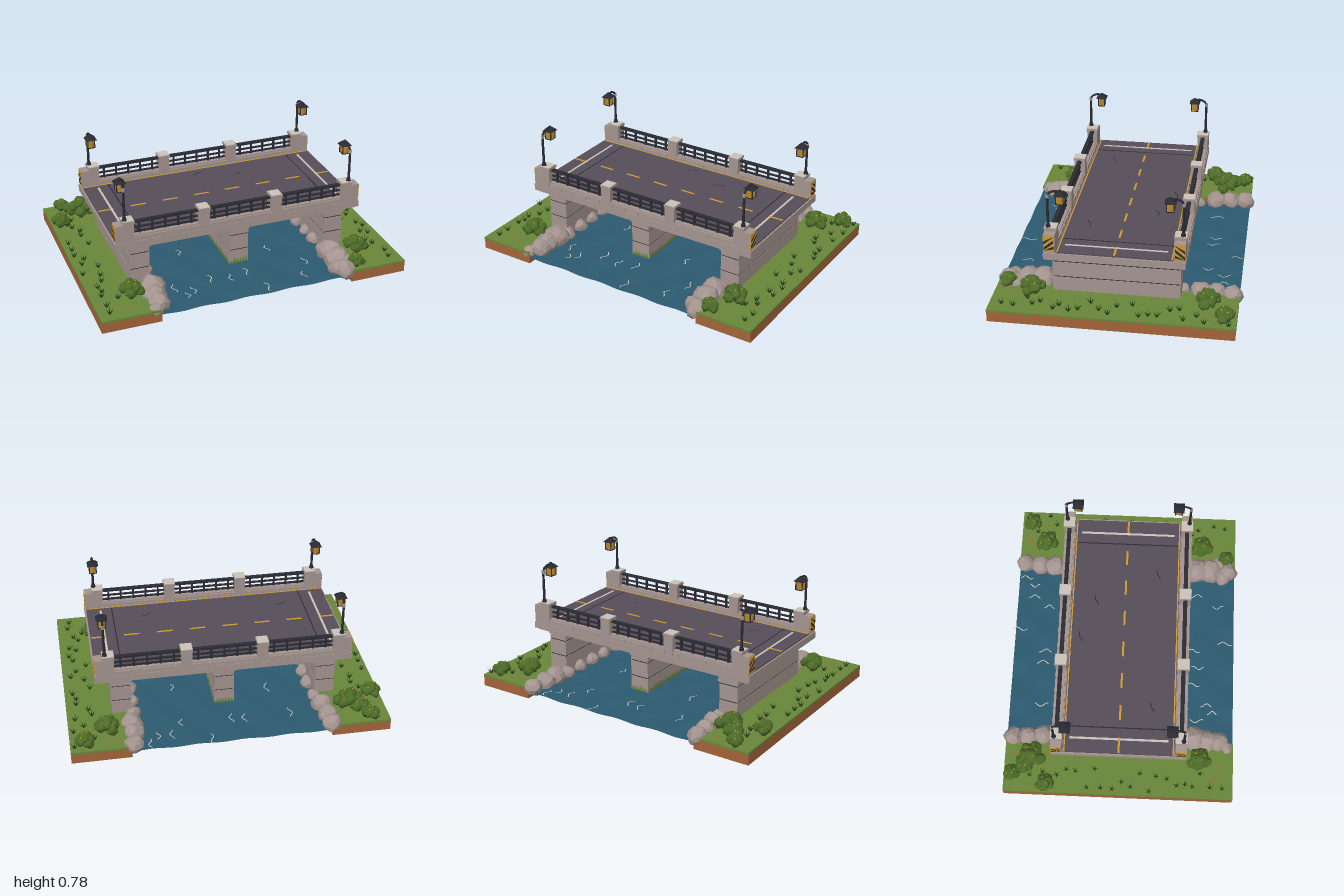
import * as THREE from 'three';

const mat = (name, color, extra = {}) => new THREE.MeshStandardMaterial({ name, color, ...extra });

export function createModel() {
  const stone = mat('stone', 0xa4948f, { flatShading: true });
  const asphalt = mat('asphalt', 0x564d58);
  const earth = mat('earth', 0xa3643a);
  const grass = mat('grass', 0x69873a, { side: THREE.DoubleSide });
  const water = mat('water', 0x2c5a70, { side: THREE.DoubleSide });
  const metal = mat('dark metal', 0x2a2b33, { side: THREE.DoubleSide });
  const yellow = mat('yellow', 0xcf9a2e);
  const cream = mat('cream', 0xc9c3b8, { side: THREE.DoubleSide });
  const leaf = mat('leaf', 0x4d6b28, { flatShading: true });
  const blade = mat('dark grass', 0x2f4a1e, { side: THREE.DoubleSide });

  const root = new THREE.Group();
  root.name = 'riverBridge';
  let seed = 7;
  const rand = (a = 0, b = 1) => {
    seed = (seed * 16807) % 2147483647;
    return a + (b - a) * (seed / 2147483647);
  };
  const add = (name, geo, m, x = 0, y = 0, z = 0, parent = root) => {
    const mesh = new THREE.Mesh(geo, m);
    mesh.name = name;
    mesh.position.set(x, y, z);
    parent.add(mesh);
    return mesh;
  };
  // Box given by its bottom height
  const box = (name, m, w, h, d, x, y, z, parent = root) =>
    add(name, new THREE.BoxGeometry(w, h, d), m, x, y + h / 2, z, parent);
  // Flat strip that follows points on a horizontal surface
  const ribbon = (name, m, pts, y, w) => {
    const pos = [], idx = [];
    pts.forEach(([x, z], i) => {
      const a = pts[Math.max(i - 1, 0)], b = pts[Math.min(i + 1, pts.length - 1)];
      const l = Math.hypot(b[0] - a[0], b[1] - a[1]);
      const nx = -(b[1] - a[1]) / l * w / 2, nz = (b[0] - a[0]) / l * w / 2;
      pos.push(x + nx, y, z + nz, x - nx, y, z - nz);
      if (i) idx.push(2 * i - 2, 2 * i, 2 * i - 1, 2 * i - 1, 2 * i, 2 * i + 1);
    });
    const g = new THREE.BufferGeometry();
    g.setAttribute('position', new THREE.Float32BufferAttribute(pos, 3));
    g.setIndex(idx);
    g.computeVertexNormals();
    return add(name, g, m);
  };
  // Lumpy ball: equal corners get an equal push
  const lump = (r, detail, rough) => {
    const g = new THREE.IcosahedronGeometry(r, detail), p = g.attributes.position, k = rand(0, 9);
    for (let i = 0; i < p.count; i++) {
      const [x, y, z] = [p.getX(i) / r, p.getY(i) / r, p.getZ(i) / r];
      const s = 1 + rough * Math.sin(3.1 * x + k) * Math.cos(2.7 * y - k) + rough * Math.sin(5 * z + 2 * k + x);
      p.setXYZ(i, x * r * s, y * r * s, z * r * s);
    }
    g.computeVertexNormals();
    return g;
  };

  // River
  const surf = new THREE.PlaneGeometry(1.26, 1.48, 40, 40).rotateX(-Math.PI / 2);
  const sp = surf.attributes.position;
  for (let i = 0; i < sp.count; i++)
    sp.setY(i, 0.004 * Math.sin(sp.getX(i) * 22) * Math.cos(sp.getZ(i) * 13));
  surf.computeVertexNormals();
  add('water', surf, water, 0, 0.045, 0);
  const foam = [[0.13, -0.71], [0.45, -0.63], [0.37, -0.63], [-0.4, -0.53], [-0.1, -0.54], [-0.02, -0.53], [0.3, -0.52],
    [-0.47, 0.5], [-0.41, 0.6], [-0.36, 0.56], [-0.22, 0.47], [-0.1, 0.5], [0.02, 0.47], [0.42, 0.48], [0.08, 0.68],
    [0.34, 0.63], [-0.3, 0.1], [0.3, -0.15], [0.25, 0.25], [0.51, -0.69], [-0.3, -0.25]];
  for (const [x, z] of foam) {
    const k = rand(0, 6), l = rand(0.06, 0.1);
    ribbon('foam', cream, Array.from({ length: 9 }, (_, i) =>
      [x + 0.012 * Math.sin(k + i * 0.8), z + (i / 8 - 0.5) * l]), 0.052, 0.006);
  }

  // Banks with grass tufts and red-brown specks
  const tuft = (x, z) => {
    const g = new THREE.Group();
    g.name = 'grassTuft';
    g.position.set(x, 0.078, z);
    for (let i = 0; i < 5; i++) {
      const c = add('blade', new THREE.ConeGeometry(0.006, rand(0.035, 0.055), 3).translate(0, 0.02, 0), blade, 0, 0, 0, g);
      c.rotation.set(0.6, i * 1.26 + x * 9, 0, 'YXZ');
    }
    root.add(g);
  };
  for (const s of [-1, 1]) {
    box('bankEarth', earth, 0.37, 0.066, 1.48, s * 0.81, 0, 0);
    box('bankGrass', grass, 0.37, 0.014, 1.484, s * 0.81, 0.066, 0);
    for (let i = 0; i < 24; i++) tuft(s * rand(0.83, 0.97), -0.68 + i * 0.058 + rand(-0.02, 0.02));
    for (let i = 0; i < 12; i++) {
      const x = s * rand(0.7, 0.97), z = (i % 2 ? 1 : -1) * rand(0.46, 0.71), a = rand(0, 3);
      ribbon('speck', earth, [[x, z], [x + 0.028 * Math.cos(a), z + 0.028 * Math.sin(a)]], 0.0815, 0.01);
    }
  }

  // Shoreline rocks: x, z, radius
  const rocks = [[-0.63, -0.7, 0.062], [-0.62, -0.6, 0.062], [-0.61, -0.5, 0.066], [-0.6, 0.48, 0.085], [-0.61, 0.57, 0.075],
    [-0.61, 0.64, 0.065], [-0.65, 0.7, 0.042], [0.61, -0.7, 0.06], [0.6, -0.6, 0.065], [0.6, -0.5, 0.066],
    [0.6, 0.48, 0.085], [0.6, 0.57, 0.08], [0.56, 0.66, 0.055], [0.6, 0.69, 0.065], [0.65, 0.63, 0.06]];
  for (const s of [-1, 1]) for (let i = 0; i < 7; i++) rocks.push([s * 0.58, -0.39 + i * 0.13, rand(0.035, 0.05)]);
  for (const [x, z, r] of rocks) {
    const m = add('rock', lump(r, 1, 0.08), stone, x, 0.045 + r * 0.38, z);
    m.scale.set(1.05, 0.95, 1);
    m.rotation.y = rand(0, 6);
  }

  // Bushes: x, z, spread
  const bushes = [[-0.88, -0.69, 0.045], [-0.77, -0.57, 0.095], [-0.94, -0.47, 0.055], [-0.75, 0.52, 0.075],
    [0.9, -0.67, 0.055], [0.755, -0.56, 0.075], [0.755, 0.51, 0.075], [0.68, 0.675, 0.045], [-0.83, -0.61, 0.05]];
  for (const [x, z, r] of bushes) {
    const g = new THREE.Group();
    g.name = 'bush';
    g.position.set(x, 0.08, z);
    root.add(g);
    for (let i = 0; i < 9; i++) {
      const a = i * 2.4, d = r * 0.75 * Math.sqrt(i / 9), q = r * 0.2 + 0.02;
      const y = 0.015 + (r * 0.85) * (1 - i / 11);
      const px = d * Math.cos(a), pz = d * Math.sin(a);
      add('leaves', lump(q, 1, 0.12), leaf, px, y, pz, g).scale.y = 0.85;
      add('leafTip', new THREE.ConeGeometry(0.016, 0.03, 4), blade, px * 1.3, y * 0.7, pz * 1.3, g);
      if (i % 2) add('berry', new THREE.OctahedronGeometry(0.007), yellow, px, y + q * 0.85, pz, g);
    }
  }

  // Piers in stone courses with recessed joints
  const courses = [[0, 0.172], [0.179, 0.098], [0.284, 0.031], [0.315, 0.022]];
  for (const x of [-0.65, 0, 0.65]) {
    const base = x ? 0 : 0.08;
    box('pierCore', stone, 0.112, 0.33 - base, 0.765, x, base, 0);
    courses.forEach(([y, h], i) => {
      const y0 = Math.max(y, base), out = i === 3 ? 0.012 : 0;
      box('pierCourse', stone, 0.126 + out, y + h - y0, 0.78 + out, x, y0, 0);
      if (i < 2) box('pierJoint', metal, 0.12, 0.007, 0.774, x, y + h, 0);
    });
  }
  // Weed on the foot of the middle pier
  const weedPlate = (w, n) => {
    const s = new THREE.Shape();
    s.moveTo(-w / 2, 0);
    for (let i = 0; i < n; i++) {
      s.lineTo(-w / 2 + w * (i + 0.5) / n, rand(0.025, 0.045));
      s.lineTo(-w / 2 + w * (i + 1) / n, i === n - 1 ? 0 : 0.008);
    }
    return new THREE.ShapeGeometry(s);
  };
  for (const s of [-1, 1]) {
    add('weed', weedPlate(0.12, 6), grass, 0, 0.08, s * 0.392);
    add('weed', weedPlate(0.76, 30), grass, s * 0.065, 0.08, 0).rotation.y = Math.PI / 2;
  }

  // Deck and road markings
  box('deckUnderside', stone, 1.58, 0.014, 0.82, 0, 0.332, 0);
  box('deckSlab', stone, 1.62, 0.044, 0.85, 0, 0.344, 0);
  box('road', asphalt, 1.6, 0.01, 0.7, 0, 0.386, 0);
  for (let i = 0; i < 8; i++) box('centreDash', yellow, 0.1, 0.003, 0.013, -0.745 + i * 0.213, 0.395, 0);
  for (const s of [-1, 1]) {
    box('edgeLine', yellow, 1.6, 0.003, 0.008, 0, 0.395, s * 0.342);
    box('stopLine', cream, 0.014, 0.003, 0.62, s * 0.707, 0.395, 0);
    box('expansionJoint', metal, 0.007, 0.002, 0.68, s * 0.633, 0.395, 0);
  }
  for (const [x, z] of [[-0.03, -0.28], [0.23, -0.19], [-0.49, 0.2], [0.42, 0.21]])
    ribbon('crack', metal, [[x - 0.035, z + 0.015], [x - 0.012, z + 0.008], [x, z - 0.006], [x + 0.035, z - 0.01]], 0.397, 0.006);

  // Parapets, posts and railings
  const posts = [-0.72, -0.238, 0.238, 0.72];
  for (const sz of [-1, 1]) {
    const z = sz * 0.388;
    box('parapet', stone, 1.5, 0.032, 0.066, 0, 0.386, z);
    box('coping', stone, 1.5, 0.009, 0.05, 0, 0.418, z);
    for (let i = 0; i < 13; i++) box('parapetBlock', stone, 0.022, 0.028, 0.074, -0.6 + i * 0.1, 0.388, z);
    for (const x of posts) {
      box('post', stone, 0.068, 0.128, 0.07, x, 0.386, z);
      box('postCap', stone, 0.076, 0.014, 0.078, x, 0.514, z);
      box('capTop', cream, 0.07, 0.003, 0.072, x, 0.528, z);
    }
    for (let b = 0; b < 3; b++) {
      const x0 = posts[b] + 0.034, x1 = posts[b + 1] - 0.034, w = x1 - x0, xc = (x0 + x1) / 2;
      box('topRail', metal, w, 0.013, 0.026, xc, 0.499, z);
      box('middleRail', metal, w, 0.009, 0.014, xc, 0.462, z);
      box('lowerRail', metal, w, 0.009, 0.014, xc, 0.432, z);
      for (let i = 0; i < 5; i++) box('baluster', metal, 0.011, 0.08, 0.014, x0 + w * (i + 0.5) / 5, 0.424, z);
    }
  }

  // End blocks with hazard plates, and street lamps
  const stripe = (a) => {
    const s = new THREE.Shape();
    const c = [[-0.03, a], [0.03, a + 0.05], [0.03, a + 0.069], [-0.03, a + 0.019]];
    c.forEach(([u, v], i) => s[i ? 'lineTo' : 'moveTo'](u, Math.min(0.048, Math.max(-0.048, v))));
    return new THREE.ShapeGeometry(s);
  };
  for (const sx of [-1, 1]) for (const sz of [-1, 1]) {
    box('endBlock', stone, 0.06, 0.12, 0.07, sx * 0.772, 0.386, sz * 0.388);
    const plate = new THREE.Group();
    plate.name = 'hazardPlate';
    plate.position.set(sx * 0.803, 0.451, sz * 0.39);
    plate.rotation.y = sx * Math.PI / 2;
    root.add(plate);
    box('plateBack', yellow, 0.064, 0.102, 0.006, 0, -0.051, 0, plate);
    for (const a of [-0.085, -0.045, -0.005])
      add('plateStripe', stripe(a), metal, 0, 0, 0.004, plate).scale.x = sx * sz > 0 ? 1 : -1;

    const lamp = new THREE.Group();
    lamp.name = 'streetLamp';
    lamp.position.set(sx * 0.74, 0, sz * 0.402);
    lamp.rotation.y = sz > 0 ? Math.PI : 0;
    root.add(lamp);
    add('lampFoot', new THREE.CylinderGeometry(0.012, 0.016, 0.02, 8), metal, 0, 0.54, 0, lamp);
    add('lampPole', new THREE.CylinderGeometry(0.0075, 0.0085, 0.2, 8), metal, 0, 0.635, 0, lamp);
    add('lampCollar', new THREE.CylinderGeometry(0.01, 0.01, 0.022, 8), stone, 0, 0.735, 0, lamp);
    const arm = new THREE.CatmullRomCurve3([[0, 0.74, 0], [0, 0.758, 0.015], [0, 0.77, 0.045], [0, 0.766, 0.078]]
      .map((p) => new THREE.Vector3(...p)));
    add('lampArm', new THREE.TubeGeometry(arm, 10, 0.007, 6), metal, 0, 0, 0, lamp);
    const square = (name, m, rt, rb, h, y) =>
      add(name, new THREE.CylinderGeometry(rt * Math.SQRT2, rb * Math.SQRT2, h, 4).rotateY(Math.PI / 4).toNonIndexed(), m, 0, y, 0.078, lamp);
    square('lampRoof', metal, 0.014, 0.035, 0.022, 0.759);
    square('lampFinial', metal, 0.006, 0.009, 0.012, 0.773);
    square('lampGlass', yellow, 0.024, 0.02, 0.056, 0.72);
    square('lampBase', metal, 0.023, 0.02, 0.006, 0.691);
    for (const a of [-1, 1]) for (const b of [-1, 1])
      box('lampFrame', metal, 0.006, 0.058, 0.006, a * 0.022, 0.691, 0.078 + b * 0.022, lamp);
  }
  return root;
}
